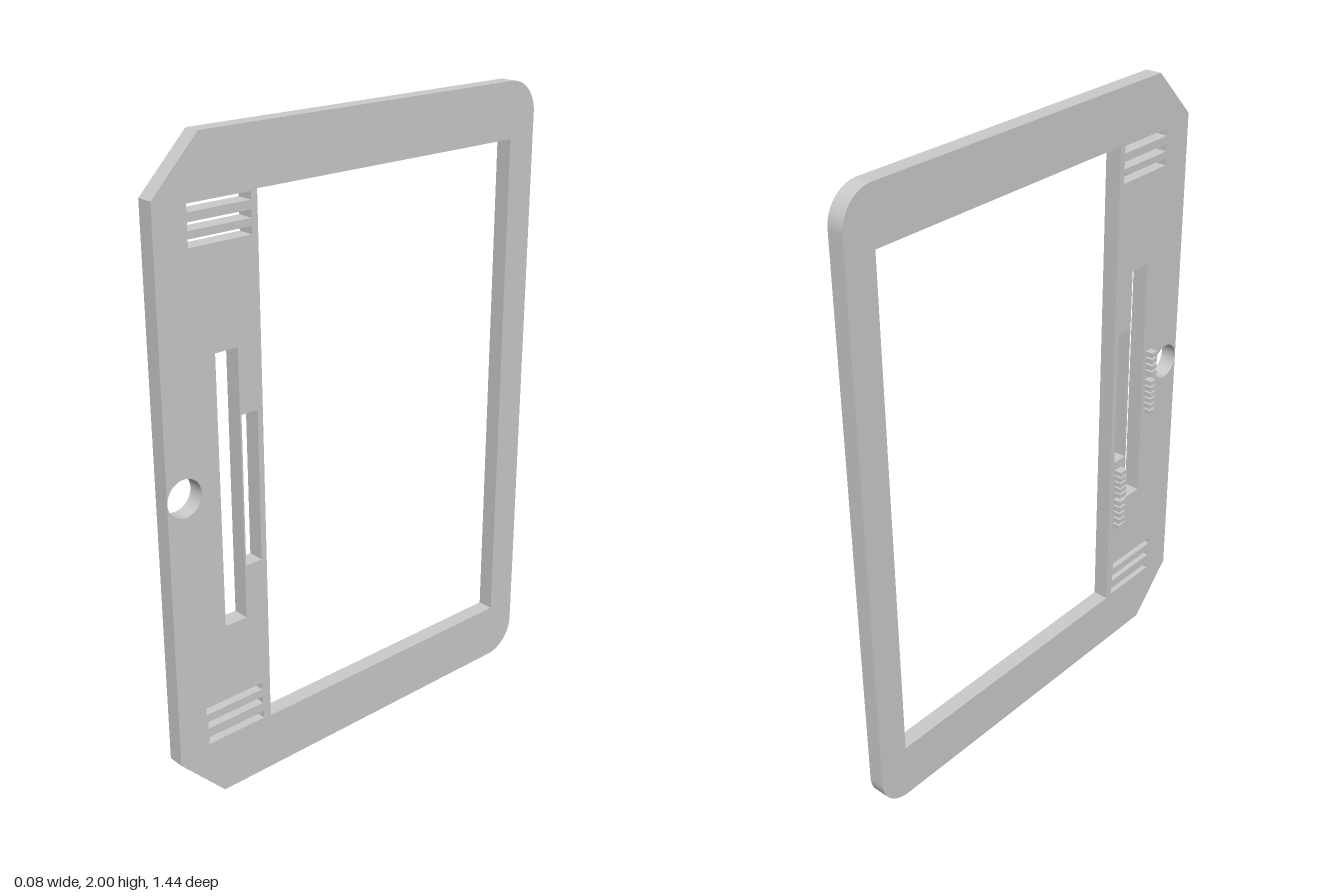
import * as THREE from 'three';

const BACK = -0.015, FRONT = 0.038; // plate thickness along x
const material = new THREE.MeshStandardMaterial({ color: 0xcccccc, flatShading: true });

// Rectangular opening given by z and y ranges (shape x is -z)
function slot(z0, z1, y0, y1) {
  return new THREE.Path([[-z1, y0], [-z1, y1], [-z0, y1], [-z0, y0]]
    .map(([u, v]) => new THREE.Vector2(u, v)));
}

function framePlate() {
  // Outline: chamfered corners at +z, rounded corners at -z
  const s = new THREE.Shape(), w = 0.718, r = 0.105;
  s.moveTo(-w, 0.16);
  s.lineTo(-0.563, 0);
  s.lineTo(w - r, 0);
  s.absarc(w - r, r, r, -Math.PI / 2, 0, false);
  s.lineTo(w, 2 - r);
  s.absarc(w - r, 2 - r, r, 0, Math.PI / 2, false);
  s.lineTo(-0.563, 2);
  s.lineTo(-w, 1.842);

  // Screen window and two long slots
  s.holes.push(
    slot(-0.615, 0.379, 0.184, 1.824),
    slot(0.46, 0.537, 0.56, 1.4),
    slot(0.398, 0.455, 0.73, 1.2),
  );
  // Vent slots, three at each end
  [[0.4, 0.61, 1.797], [0.4, 0.61, 1.748], [0.4, 0.61, 1.703],
    [0.41, 0.62, 0.291], [0.408, 0.615, 0.242], [0.405, 0.613, 0.188]]
    .forEach(([z0, z1, y]) => s.holes.push(slot(z0, z1, y, y + 0.023)));
  // Round button hole
  const hole = new THREE.Path();
  hole.absarc(-0.659, 1.007, 0.058, 0, Math.PI * 2, true);
  s.holes.push(hole);

  const geo = new THREE.ExtrudeGeometry(s, {
    depth: FRONT - BACK, bevelEnabled: false, curveSegments: 20,
  });
  geo.rotateY(Math.PI / 2);
  geo.translate(BACK, 0, 0);
  const mesh = new THREE.Mesh(geo, material);
  mesh.name = 'framePlate';
  return mesh;
}

// Row of small raised blocks on the back face, in two groups
function raisedRow(name, z0, z1, ranges) {
  const row = new THREE.Group();
  row.name = name;
  const depth = 0.028;
  for (const [y0, y1, count] of ranges) {
    const pitch = (y1 - y0) / count;
    for (let i = 0; i < count; i++) {
      const block = new THREE.Mesh(
        new THREE.BoxGeometry(depth, pitch * 0.72, z1 - z0), material);
      block.position.set(BACK - depth / 2 + 0.001, y0 + pitch * (i + 0.5), (z0 + z1) / 2);
      block.name = 'raisedBlock';
      row.add(block);
    }
  }
  return row;
}

export function createModel() {
  const model = new THREE.Group();
  model.name = 'bezelFrame';
  model.add(
    framePlate(),
    raisedRow('upperRaisedRow', 0.549, 0.576, [[0.855, 0.985, 6], [0.998, 1.09, 4]]),
    raisedRow('lowerRaisedRow', 0.401, 0.435, [[0.468, 0.588, 5], [0.595, 0.703, 5]]),
  );
  return model;
}
